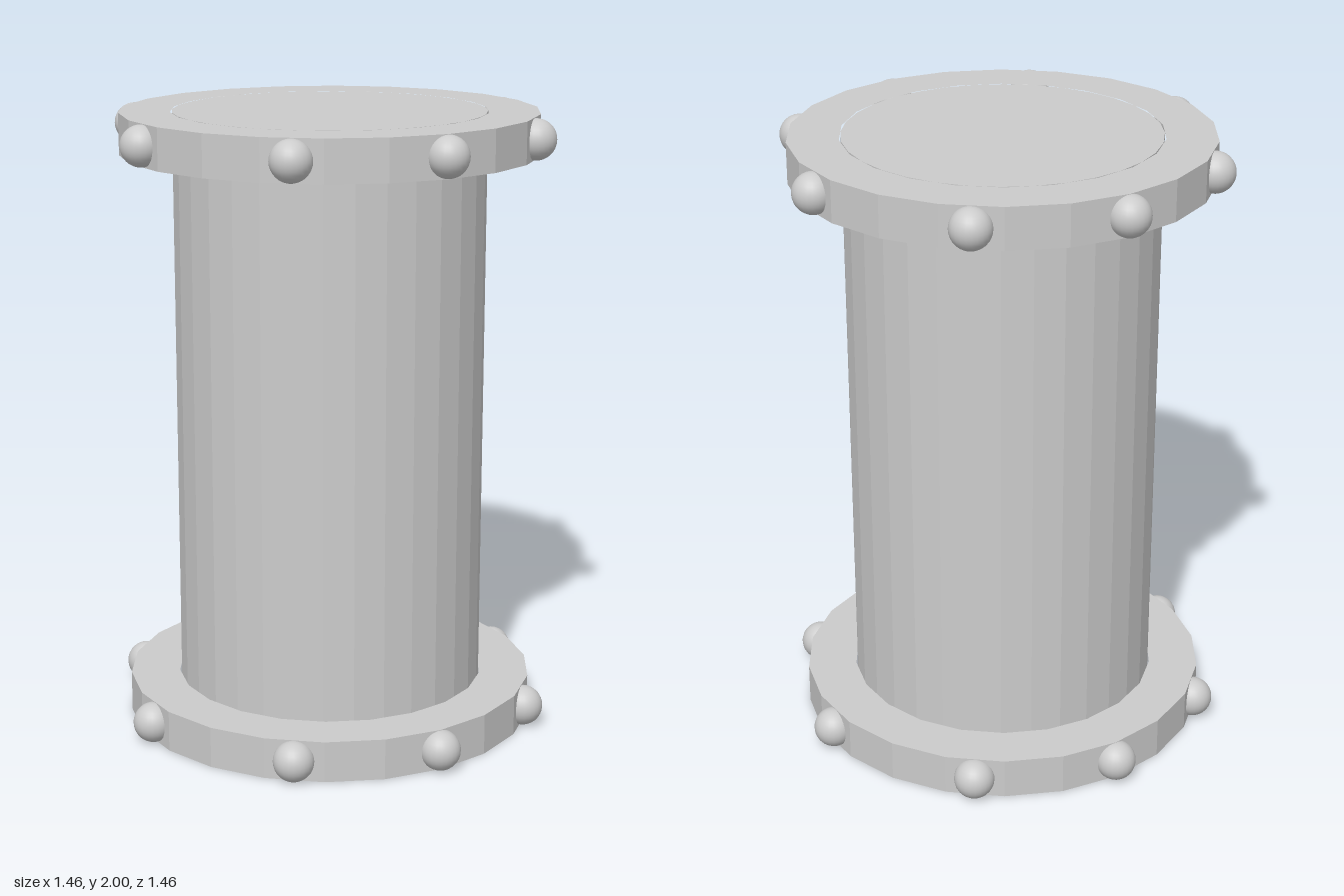
import * as THREE from 'three';

const material = new THREE.MeshStandardMaterial({ color: 0xcccccc, flatShading: true });
const smooth = new THREE.MeshStandardMaterial({ color: 0xcccccc });

const FLANGE_R = 0.667, FLANGE_H = 0.133, SIDES = 22;

// Regular polygon with one corner on the z axis
function polygon(radius) {
  return Array.from({ length: SIDES }, (_, i) => {
    const a = (i / SIDES) * Math.PI * 2;
    return new THREE.Vector2(Math.sin(a) * radius, Math.cos(a) * radius);
  });
}

// Flat ring lying on y = 0
function flangeGeometry() {
  const shape = new THREE.Shape(polygon(FLANGE_R));
  shape.holes.push(new THREE.Path(polygon(0.505)));
  const geometry = new THREE.ExtrudeGeometry(shape, { depth: FLANGE_H, bevelEnabled: false });
  return geometry.rotateX(-Math.PI / 2);
}

export function createModel() {
  const model = new THREE.Group();
  model.name = 'flangedPipe';

  // Closed main cylinder
  const body = new THREE.Mesh(new THREE.CylinderGeometry(0.5, 0.5, 2, 32), material);
  body.name = 'body';
  body.position.y = 1;
  model.add(body);

  // Two end rings, each with eight round bolts on the rim
  const ringGeometry = flangeGeometry();
  const boltGeometry = new THREE.SphereGeometry(0.065, 24, 16);
  const diagonal = THREE.MathUtils.degToRad(41);
  const angles = [0, diagonal, Math.PI / 2, Math.PI - diagonal];

  for (const [name, y] of [['bottom', 0], ['top', 2 - FLANGE_H]]) {
    const flange = new THREE.Group();
    flange.name = name + 'Flange';
    flange.position.y = y;

    const ring = new THREE.Mesh(ringGeometry, material);
    ring.name = name + 'Ring';
    flange.add(ring);

    for (const angle of angles) {
      for (const side of [1, -1]) {
        const bolt = new THREE.Mesh(boltGeometry, smooth);
        bolt.name = name + 'Bolt';
        bolt.position.set(
          side * Math.sin(angle) * FLANGE_R,
          FLANGE_H / 2,
          side * Math.cos(angle) * FLANGE_R
        );
        flange.add(bolt);
      }
    }
    model.add(flange);
  }
  return model;
}
